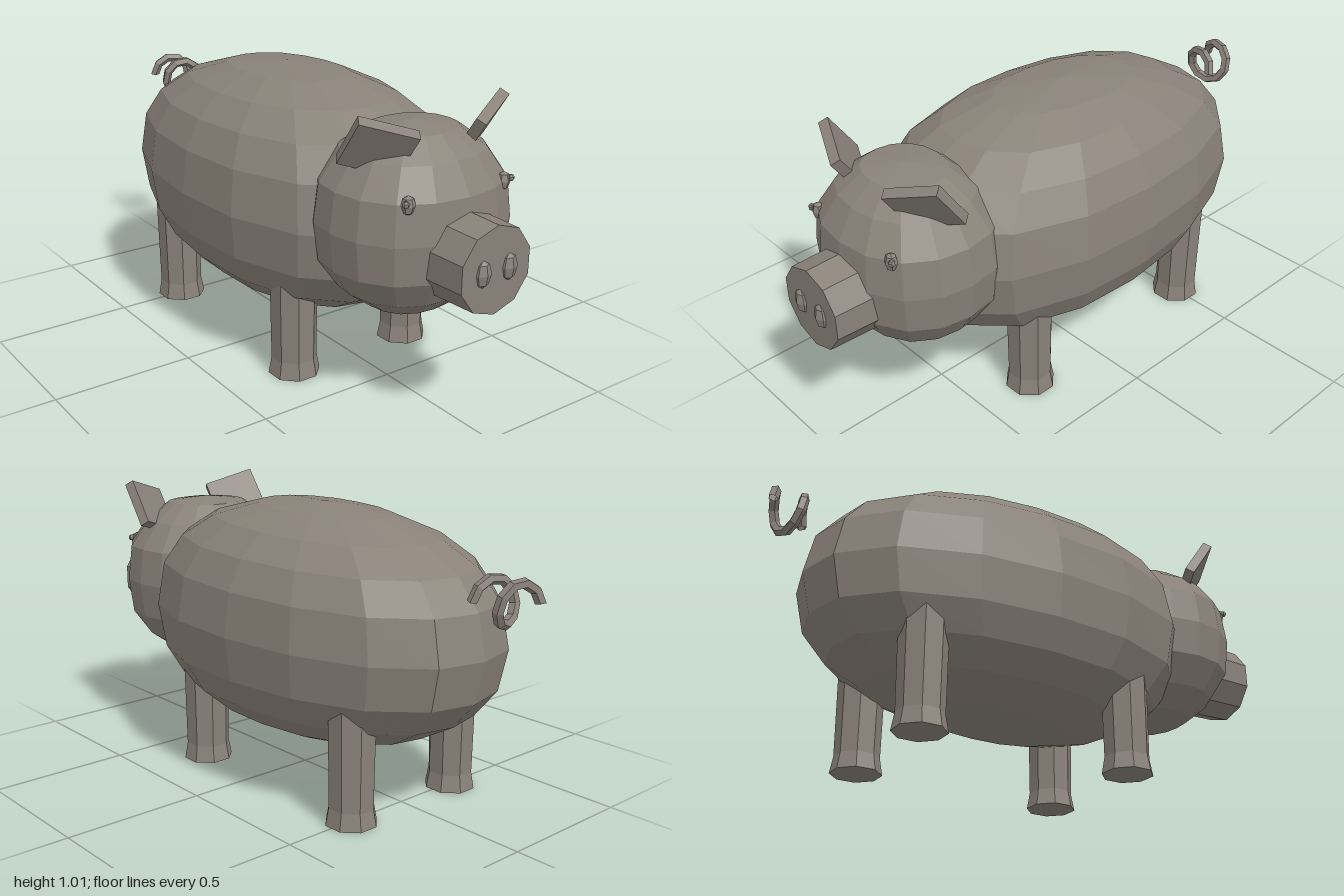
import * as THREE from 'three';

const hide = new THREE.MeshStandardMaterial({ color: 0x8a8279, flatShading: true, side: THREE.DoubleSide });
hide.name = 'taupe';

function add(parent, name, geometry, x = 0, y = 0, z = 0) {
  const mesh = new THREE.Mesh(geometry, hide);
  mesh.name = name;
  mesh.position.set(x, y, z);
  parent.add(mesh);
  return mesh;
}

function lathe(points, sides, phase = 0) {
  return new THREE.LatheGeometry(points.map(([r, y]) => new THREE.Vector2(r, y)), sides, phase);
}

// Rounded faceted ellipsoid: half profile [radius, height], slightly squared in plan, fuller toward +x by taper
function blob(half, sides, rx, ry, rz, taper) {
  const lower = half.map(([r, y]) => [r, -y]).reverse();
  const g = lathe([...lower, ...half.slice(1)], sides);
  const p = g.attributes.position;
  for (let i = 0; i < p.count; i++) {
    const x = p.getX(i), y = p.getY(i), z = p.getZ(i);
    const square = 1 + 0.045 * Math.sin(2 * Math.atan2(z, x)) ** 2;
    const full = 1 + taper * x;
    p.setXYZ(i, x * rx * square, y * ry * full, z * rz * square * full);
  }
  return g;
}

// Half profiles run from equator to pole, so the lower copy is reversed
const bodyHalf = [[1, 0], [0.955, 0.37], [0.84, 0.62], [0.65, 0.81], [0.38, 0.945], [0, 1]];
const headHalf = [[1, 0], [0.95, 0.42], [0.74, 0.73], [0.46, 0.94], [0, 1]];

function cornerBox(name, parent, a, b, thickness, centre) {
  const n = new THREE.Vector3().crossVectors(a, b).normalize();
  const box = add(parent, name, new THREE.BoxGeometry(a.length(), b.length(), thickness));
  const basis = new THREE.Matrix4().makeBasis(a.clone().normalize(), b.clone().normalize(), n);
  box.quaternion.setFromRotationMatrix(basis);
  box.position.copy(centre);
}

// Corkscrew tail
class Corkscrew extends THREE.Curve {
  getPoint(t, target = new THREE.Vector3()) {
    const a = t * Math.PI * 3;
    return target.set(-0.985 + 0.15 * t, 0.777 + 0.068 * Math.sin(a), 0.066 * Math.cos(a));
  }
}

export function createModel() {
  const model = new THREE.Group();
  model.name = 'pig';

  add(model, 'body', blob(bodyHalf, 16, 0.74, 0.415, 0.44, 0.05), -0.1, 0.577, 0);
  add(model, 'head', blob(headHalf, 16, 0.28, 0.31, 0.32, 0), 0.59, 0.625, 0);

  // Snout
  const snout = new THREE.CylinderGeometry(0.143, 0.151, 0.25, 10);
  snout.rotateY(Math.PI / 2).rotateZ(-Math.PI / 2);
  add(model, 'snout', snout, 0.855, 0.563, 0);

  // Paired face parts and legs, built on +z and mirrored to -z
  for (const s of [1, -1]) {
    const side = new THREE.Group();
    side.name = s > 0 ? 'nearSide' : 'farSide';
    side.scale.z = s;
    model.add(side);

    add(side, 'nostril', new THREE.SphereGeometry(1, 6, 4), 0.978, 0.563, 0.053).scale.set(0.022, 0.045, 0.031);
    add(side, 'eye', new THREE.SphereGeometry(1, 6, 4), 0.8, 0.753, 0.193).scale.set(0.022, 0.031, 0.024);
    add(side, 'pupil', new THREE.SphereGeometry(0.012, 6, 5), 0.812, 0.762, 0.212);

    cornerBox('ear', side, new THREE.Vector3(0.075, -0.057, -0.17), new THREE.Vector3(0.1, 0.145, 0),
      0.036, new THREE.Vector3(0.673, 0.9, 0.208));

    const leg = lathe([[0, 0], [0.09, 0], [0.079, 0.06], [0.084, 0.44], [0, 0.44]], 8, Math.PI / 8);
    add(side, 'frontLeg', leg, 0.285, 0, 0.24);
    add(side, 'backLeg', leg, -0.505, 0, 0.24);
  }

  add(model, 'tail', new THREE.TubeGeometry(new Corkscrew(), 14, 0.018, 5));
  return model;
}
